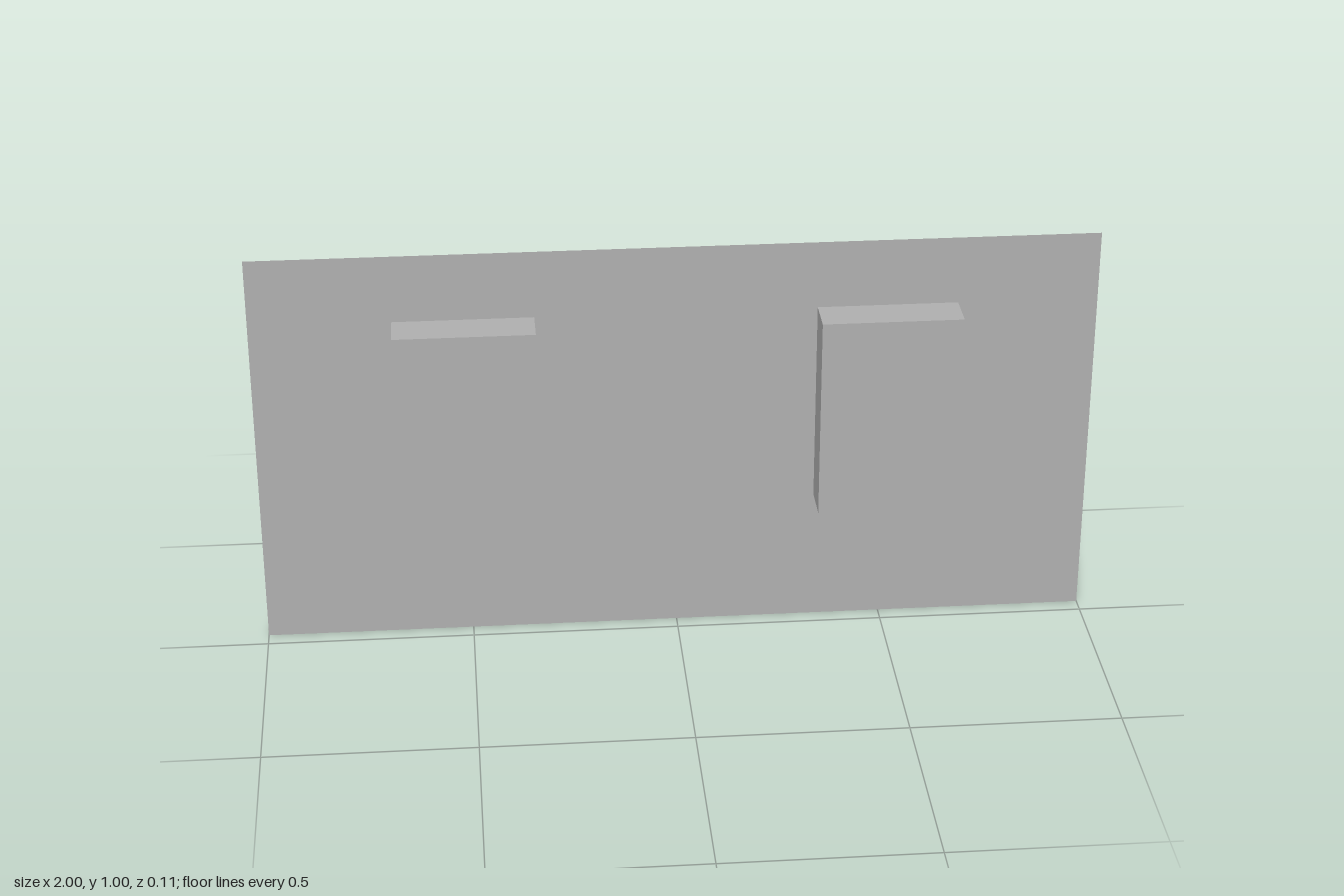
import * as THREE from 'three';

const W = 1 / 3, H = 0.5;          // window casing size
const Z0 = -0.0556, Z1 = 0.0556;   // back and front of casing
const WALL_Z = -0.04;
const CENTRE_Y = 1 / 3 + H / 2;

const rectPoints = (x0, y0, x1, y1) => [[x0, y0], [x1, y0], [x1, y1], [x0, y1]].map(p => new THREE.Vector2(...p));

// Rectangle with rectangular holes
function rectShape(outer, holes) {
  const shape = new THREE.Shape(rectPoints(...outer));
  shape.holes = holes.map(h => new THREE.Path(rectPoints(...h).reverse()));
  return shape;
}

function part(name, geometry, material) {
  const mesh = new THREE.Mesh(geometry, material);
  mesh.name = name;
  return mesh;
}

// Rectangular frame between two depths; insets are measured from the casing edge
function frame(name, outerInset, holes, zBack, zFront, material) {
  const o = outerInset;
  const geometry = new THREE.ExtrudeGeometry(
    rectShape([-W / 2 + o, -H / 2 + o, W / 2 - o, H / 2 - o], holes),
    { depth: zFront - zBack, bevelEnabled: false });
  geometry.translate(0, 0, zBack);
  return part(name, geometry, material);
}

const inset = d => [-W / 2 + d, -H / 2 + d, W / 2 - d, H / 2 - d];

function createWindow(mats) {
  const group = new THREE.Group();
  group.name = 'window';

  // Deep grey casing closed at the front
  const capDepth = 0.006;
  group.add(frame('casing', 0, [inset(0.015)], Z0, Z1 - capDepth, mats.grey));
  const cap = part('frontPanel', new THREE.BoxGeometry(W, H, capDepth), mats.grey);
  cap.position.z = Z1 - capDepth / 2;
  group.add(cap);

  // Stepped beige frame
  const frameZ = Z0 + 0.07, sashZ = Z0 + 0.094;
  group.add(frame('windowFrame', 0.015, [inset(0.033)], frameZ, Z1 - capDepth, mats.beige));

  // Sash with an upper and a lower pane
  const gx = W / 2 - 0.066, bottom = -H / 2 + 0.092, top = H / 2 - 0.056, mid = 0.009, bar = 0.009;
  group.add(frame('sash', 0.033,
    [[-gx, bottom, gx, mid - bar], [-gx, mid + bar, gx, top]], sashZ, Z1 - capDepth, mats.beige));
  for (const [name, y0, y1] of [['lowerPane', bottom, mid - bar], ['upperPane', mid + bar, top]]) {
    const pane = part(name, new THREE.BoxGeometry(2 * gx, y1 - y0, 0.006), mats.glass);
    pane.position.set(0, (y0 + y1) / 2, sashZ + 0.004);
    group.add(pane);
  }
  return group;
}

export function createModel() {
  const mats = {
    wall: new THREE.MeshStandardMaterial({ color: 0xb0b0b0, side: THREE.DoubleSide }),
    grey: new THREE.MeshStandardMaterial({ color: 0xb0b0b0 }),
    beige: new THREE.MeshStandardMaterial({ color: 0xb5a78f }),
    glass: new THREE.MeshStandardMaterial({ color: 0x505050 }),
  };
  mats.wall.name = 'wallGrey';
  mats.grey.name = 'casingGrey';
  mats.beige.name = 'frameBeige';
  mats.glass.name = 'darkGlass';

  const model = new THREE.Group();
  model.name = 'wallWithWindows';
  const centres = [-0.5, 0.5];

  // Thin wall sheet with two openings
  const holes = centres.map(x => [x - W / 2, CENTRE_Y - H / 2, x + W / 2, CENTRE_Y + H / 2]);
  const wall = part('wall', new THREE.ShapeGeometry(rectShape([-1, 0, 1, 1], holes)), mats.wall);
  wall.position.z = WALL_Z;
  model.add(wall);

  for (const x of centres) {
    const win = createWindow(mats);
    win.position.set(x, CENTRE_Y, 0);
    model.add(win);
  }
  return model;
}
